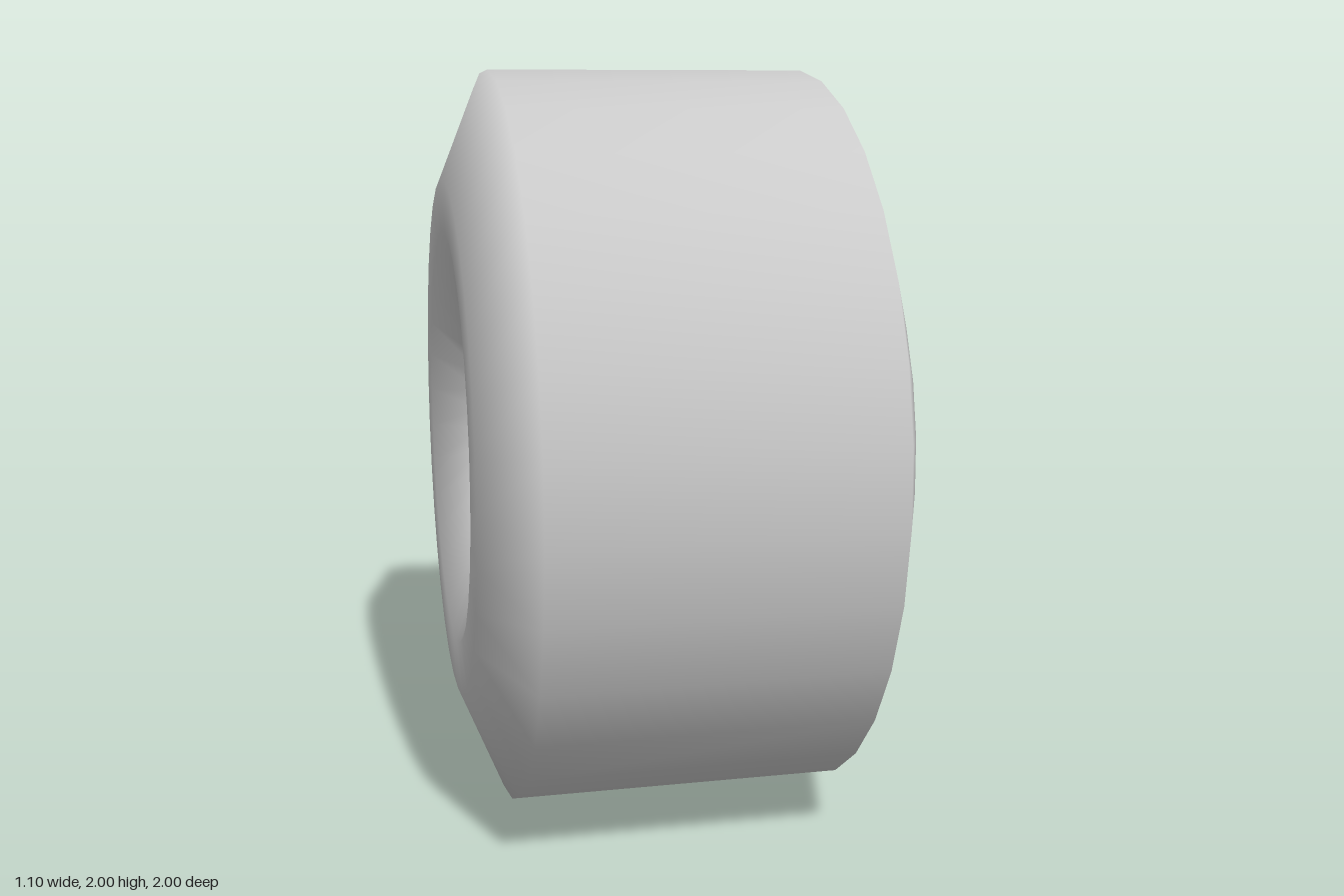
import * as THREE from 'three';

export function createModel() {
  const group = new THREE.Group();
  group.name = 'wheel';

  // Half of the cross-section [radius, axial offset], from the bore's waist out to the tread
  const half = [[0.275, 0], [0.295, 0.43], [0.57, 0.55], [0.71, 0.55], [1, 0.43]];
  const profile = [
    ...half.map(([r, x]) => new THREE.Vector2(r, -x)),
    ...half.slice().reverse().map(([r, x]) => new THREE.Vector2(r, x)),
  ];

  // Thick smooth ring, turned so its axle runs along x
  const geometry = new THREE.LatheGeometry(profile, 32, 0.06);
  geometry.rotateZ(-Math.PI / 2);
  const tire = new THREE.Mesh(geometry, new THREE.MeshStandardMaterial({ color: 0xcccccc }));
  tire.name = 'tire';
  tire.position.y = 1;
  group.add(tire);

  return group;
}
